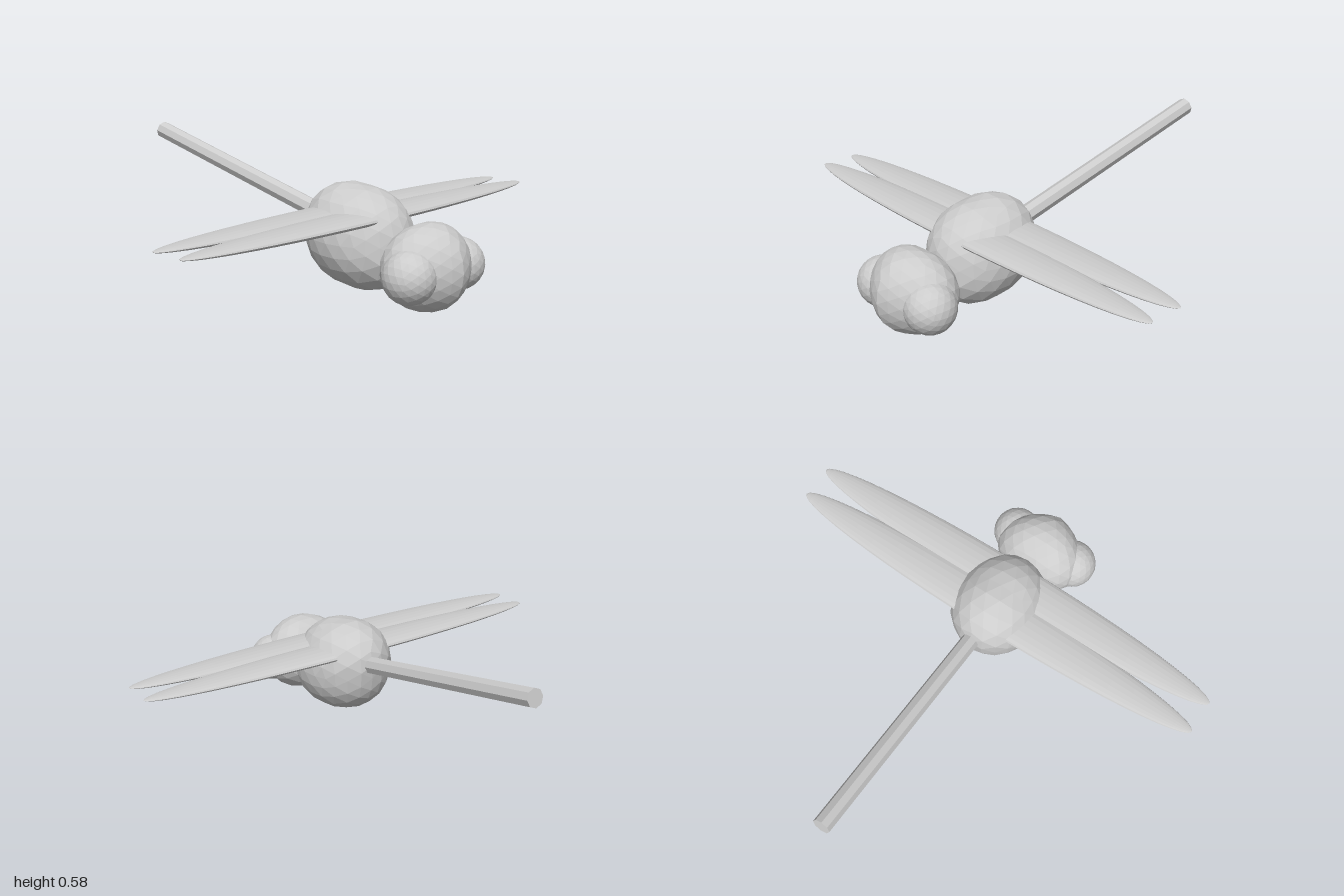
import * as THREE from 'three';

const material = new THREE.MeshStandardMaterial({ color: 0xcccccc, flatShading: true });

function addPart(group, name, geometry) {
  const mesh = new THREE.Mesh(geometry, material);
  mesh.name = name;
  group.add(mesh);
  return mesh;
}

// Faceted ellipsoid; swell(direction) scales each vertex outward or inward
function blob(radii, swell = () => 1) {
  const geometry = new THREE.IcosahedronGeometry(1, 3);
  const pos = geometry.attributes.position;
  const v = new THREE.Vector3();
  for (let i = 0; i < pos.count; i++) {
    v.fromBufferAttribute(pos, i);
    v.multiplyScalar(swell(v)).multiply(radii);
    pos.setXYZ(i, v.x, v.y, v.z);
  }
  geometry.computeVertexNormals();
  return geometry;
}

export function createModel() {
  const model = new THREE.Group();
  model.name = 'dragonfly';

  // Thorax, fuller at the lower front
  addPart(model, 'thorax', blob(new THREE.Vector3(0.205, 0.21, 0.237),
    (d) => 1 + 0.26 * Math.max(0, -d.y * d.z))).position.set(0, 0.24, 0.38);

  // Head, broad behind and narrower in front
  addPart(model, 'head', blob(new THREE.Vector3(0.2, 0.176, 0.161),
    (d) => 1 - 0.2 * Math.abs(d.x) * d.z)).position.set(0, 0.177, 0.746);

  // Bulging eyes on the sides of the head
  for (const [side, name] of [[1, 'leftEye'], [-1, 'rightEye']]) {
    addPart(model, name, blob(new THREE.Vector3(0.107, 0.107, 0.107)))
      .position.set(side * 0.149, 0.168, 0.765);
  }

  // Two wing pairs: long flat ellipsoids with their poles at the tips
  for (const [z, name] of [[0.459, 'frontWings'], [0.311, 'rearWings']]) {
    const geometry = new THREE.SphereGeometry(1, 20, 24);
    geometry.rotateZ(Math.PI / 2).scale(1, 0.026, 0.098);
    addPart(model, name, geometry).position.set(0, 0.337, z);
  }

  // Straight tail rising to the rear, starting inside the thorax
  const start = new THREE.Vector3(0, 0.26, 0.33);
  const end = new THREE.Vector3(0, 0.54, -0.9);
  const axis = end.clone().sub(start);
  const tail = addPart(model, 'tail',
    new THREE.CylinderGeometry(0.039, 0.039, axis.length(), 8));
  tail.position.copy(start).add(end).multiplyScalar(0.5);
  tail.quaternion.setFromUnitVectors(new THREE.Vector3(0, 1, 0), axis.normalize());

  return model;
}
